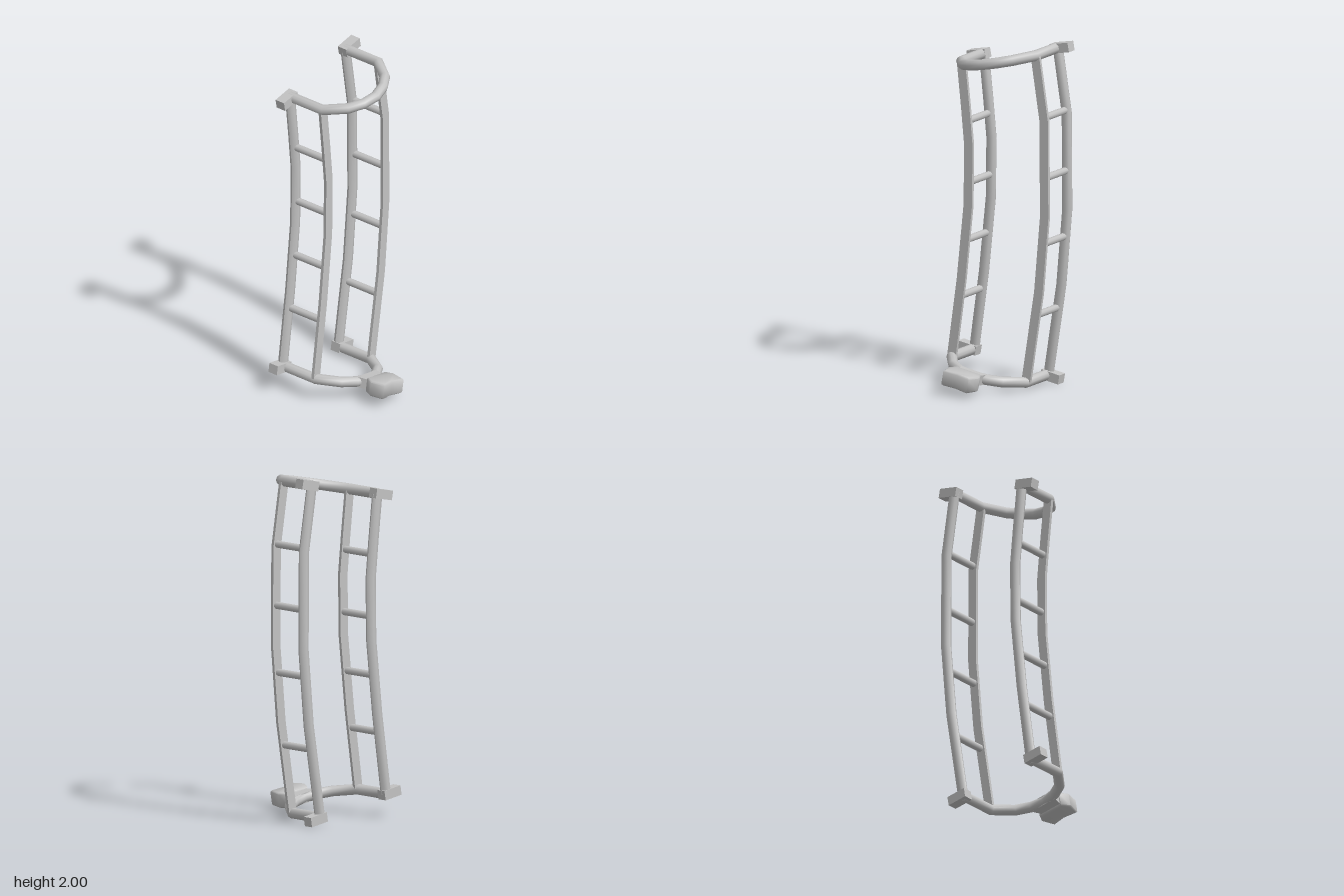
import * as THREE from 'three';
import { toCreasedNormals } from 'three/addons/utils/BufferGeometryUtils.js';

const metal = new THREE.MeshStandardMaterial({ color: 0xc2c2c2 });
metal.name = 'light grey metal';

const CREASE = 0.9;
const V = (x, y, z) => new THREE.Vector3(x, y, z);

// Sweeps a cross-section (list of [side, other] offsets) along a polyline with mitred corners.
function sweep(points, section, ref) {
  const pos = [], idx = [], n = section.length, last = points.length - 1;
  points.forEach((p, i) => {
    const before = points[i].clone().sub(points[Math.max(i - 1, 0)]).normalize();
    const after = points[Math.min(i + 1, last)].clone().sub(points[i]).normalize();
    const t = before.clone().add(after).normalize();
    const mitre = i === 0 || i === last ? 1 : 1 / t.dot(after);
    const side = ref.clone().cross(t).normalize();
    const other = t.clone().cross(side);
    for (const [a, b] of section) {
      pos.push(...p.clone().addScaledVector(side, a * mitre).addScaledVector(other, b));
    }
  });
  for (let i = 0; i < last; i++) {
    for (let j = 0; j < n; j++) {
      const a = i * n + j, b = i * n + (j + 1) % n;
      idx.push(a, b, a + n, b, b + n, a + n);
    }
  }
  // end faces
  for (let j = 1; j < n - 1; j++) {
    idx.push(0, j + 1, j, last * n, last * n + j, last * n + j + 1);
  }
  const g = new THREE.BufferGeometry();
  g.setAttribute('position', new THREE.Float32BufferAttribute(pos, 3));
  g.setIndex(idx);
  return toCreasedNormals(g.toNonIndexed(), CREASE);
}

function oval(rx, ry, sides) {
  return Array.from({ length: sides }, (_, i) => {
    const a = (i / sides) * Math.PI * 2;
    return [rx * Math.cos(a), ry * Math.sin(a)];
  });
}
const rect = (w, d) => [[w, d], [-w, d], [-w, -d], [w, -d]];

function add(parent, name, geometry) {
  const m = new THREE.Mesh(geometry, metal);
  m.name = name;
  parent.add(m);
  return m;
}

// Half of the hoop plan, from the back of the arm to the front middle: [x, z]
const HALF_PLAN = [[0.246, -0.29], [0.246, -0.048], [0.162, 0.07], [0.085, 0.117], [0, 0.136]];

// U-shaped hoop, tilted sideways, with a square fitting on each arm end
function hoop(name, cx, cy, slope) {
  const group = new THREE.Group();
  group.name = name;
  const plan = [
    ...HALF_PLAN.map(([x, z]) => [-x, z]),
    ...HALF_PLAN.slice(0, -1).reverse(),
  ];
  const pts = plan.map(([x, z]) => V(cx + x, cy + x * slope, z));
  add(group, 'bentTube', sweep(pts, oval(0.03, 0.031, 10), V(0, 1, 0)));
  for (const s of [-1, 1]) {
    const x = s * 0.277;
    const fitting = add(group, 'endFitting', new THREE.BoxGeometry(0.122, 0.055, 0.062));
    fitting.position.set(cx + x, cy + x * slope, -0.286);
    fitting.rotation.z = Math.atan(slope);
  }
  return group;
}

// Ladder side: round back rail, flat front strip and four rungs between them
function ladder(name, path, rungHeights) {
  const group = new THREE.Group();
  group.name = name;
  const line = z => path.map(([x, y]) => V(x, y, z));
  add(group, 'backRail', sweep(line(-0.29), oval(0.032, 0.026, 8), V(0, 0, 1)));
  add(group, 'frontStrip', sweep(line(-0.05), rect(0.028, 0.009), V(0, 0, 1)));
  for (const y of rungHeights) {
    const k = path.findIndex(p => p[1] > y);
    const [x0, y0] = path[k - 1], [x1, y1] = path[k];
    const x = x0 + (x1 - x0) * (y - y0) / (y1 - y0);
    const rung = add(group, 'rung', new THREE.CylinderGeometry(0.021, 0.021, 0.23, 10));
    rung.rotation.x = Math.PI / 2;
    rung.position.set(x, y, -0.17);
  }
  return group;
}

// Faceted block on the front of the lower hoop, joined by a flared neck
function frontBlock(cx, cy, slope) {
  const group = new THREE.Group();
  group.name = 'frontBlock';
  const bevel = 0.008;
  const outline = [[-0.07, 0.19], [-0.096, 0.234], [-0.078, 0.31], [0, 0.297],
    [0.08, 0.31], [0.098, 0.232], [0.077, 0.19]];
  // plan z becomes -y in the shape, so that turning it flat restores it
  const shape = new THREE.Shape(outline.map(([x, z]) => new THREE.Vector2(x, -z)));
  const g = new THREE.ExtrudeGeometry(shape, {
    depth: 0.074, bevelEnabled: true, bevelSize: bevel, bevelThickness: bevel, bevelSegments: 1,
  });
  g.translate(0, 0, -0.037).rotateX(-Math.PI / 2);
  add(group, 'block', toCreasedNormals(g, CREASE));

  const neck = new THREE.BoxGeometry(0.13, 0.06, 0.075);
  const p = neck.attributes.position;
  for (let i = 0; i < p.count; i++) {
    if (p.getZ(i) < 0) p.setX(i, p.getX(i) * 1.35);
  }
  neck.translate(0, 0, 0.155).computeVertexNormals();
  add(group, 'neck', neck);

  group.position.set(cx, cy, 0);
  group.rotation.z = Math.atan(slope);
  return group;
}

export function createModel() {
  const model = new THREE.Group();
  model.name = 'curvedLadderFrame';

  model.add(hoop('upperHoop', 0.03, 1.909, 0.19));
  model.add(hoop('lowerHoop', -0.034, 0.091, -0.18));
  model.add(frontBlock(-0.034, 0.091, -0.18));

  model.add(ladder('rightLadder',
    [[-0.28, 0.135], [-0.215, 0.6], [-0.17, 1.03], [-0.166, 1.38], [-0.187, 1.6], [-0.215, 1.86]],
    [0.495, 0.825, 1.165, 1.52]));
  model.add(ladder('leftLadder',
    [[0.215, 0.047], [0.3, 0.58], [0.339, 1.02], [0.336, 1.58], [0.278, 1.95]],
    [0.445, 0.865, 1.25, 1.6]));

  return model;
}
